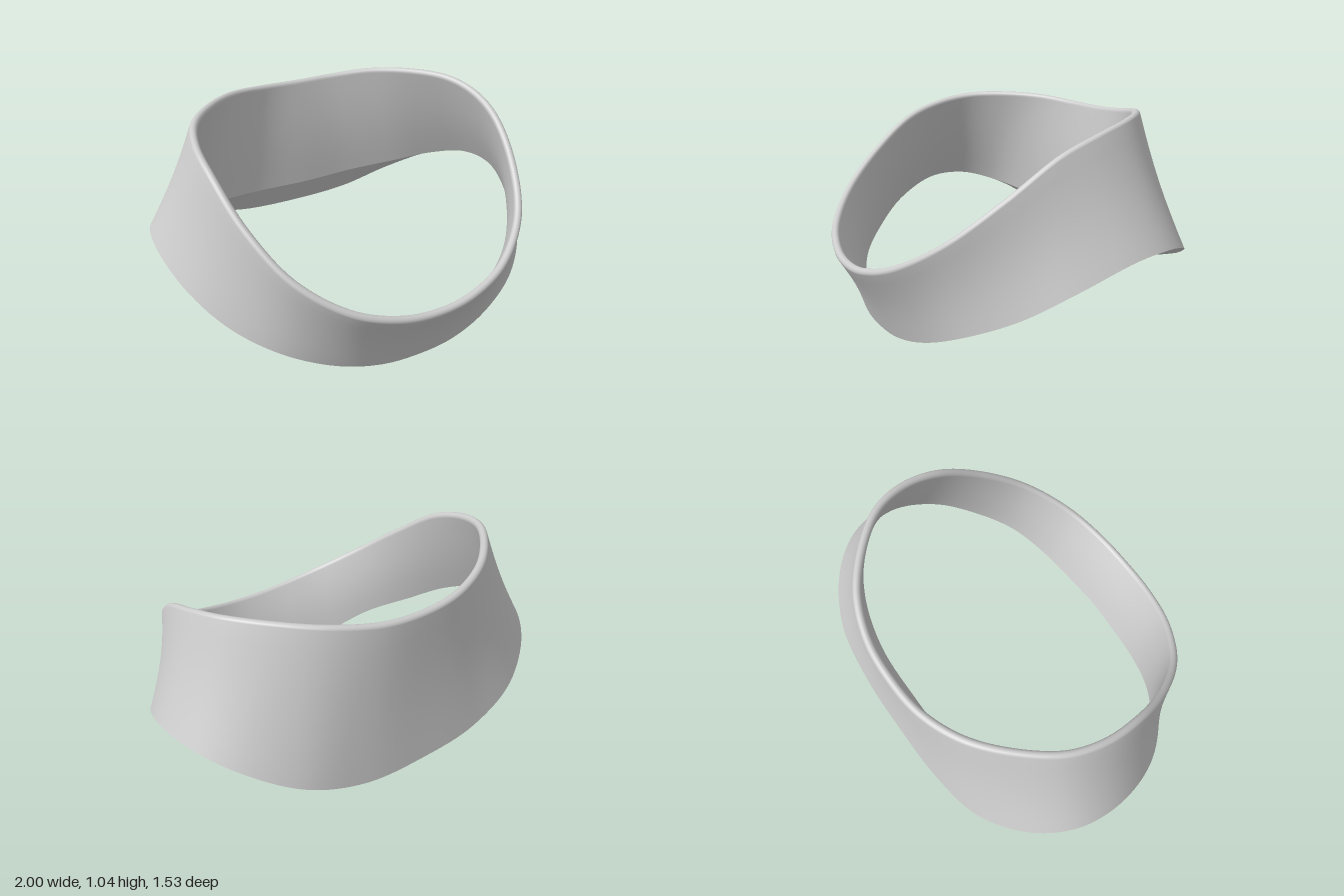
import * as THREE from 'three';

// Half-outline stations from front centre to back centre:
// [outer top], [outer bottom], [inner bottom]
const STATIONS = [
  [[0, 0.34, 0.77], [0, 0, 0.6], [0, 0.02, 0.56]],
  [[0.2, 0.36, 0.755], [0.2, 0.01, 0.59], [0.2, 0.025, 0.548]],
  [[0.42, 0.43, 0.69], [0.42, 0.06, 0.55], [0.4, 0.07, 0.515]],
  [[0.62, 0.57, 0.54], [0.65, 0.155, 0.46], [0.61, 0.17, 0.43]],
  [[0.735, 0.75, 0.33], [0.83, 0.26, 0.3], [0.79, 0.27, 0.28]],
  [[0.785, 0.92, 0.1], [0.95, 0.385, 0.1], [0.91, 0.4, 0.09]],
  [[0.785, 1.0, -0.1], [1, 0.49, -0.15], [0.96, 0.5, -0.14]],
  [[0.73, 1.04, -0.28], [0.97, 0.505, -0.36], [0.92, 0.515, -0.33]],
  [[0.6, 1.05, -0.45], [0.85, 0.45, -0.55], [0.79, 0.48, -0.48]],
  [[0.42, 1.04, -0.6], [0.62, 0.34, -0.705], [0.56, 0.44, -0.57]],
  [[0.21, 1.015, -0.685], [0.33, 0.25, -0.76], [0.3, 0.42, -0.62]],
  [[0, 1.005, -0.705], [0, 0.23, -0.77], [0, 0.41, -0.625]],
];

// Closed curve through one column of the stations, mirrored in x
function edgeCurve(column) {
  const half = STATIONS.map((s) => new THREE.Vector3(...s[column]));
  const mirrored = half.slice(1, -1).reverse().map((p) => new THREE.Vector3(-p.x, p.y, p.z));
  return new THREE.CatmullRomCurve3([...half, ...mirrored], true);
}

// Skin a list of closed rings; each ring has the same number of points
function skin(rings) {
  const n = rings[0].length;
  const positions = rings.flat().flatMap((p) => [p.x, p.y, p.z]);
  const index = [];
  for (let r = 0; r < rings.length - 1; r++) {
    for (let i = 0; i < n; i++) {
      const j = (i + 1) % n;
      const a = r * n + i, b = r * n + j, c = a + n, d = b + n;
      index.push(a, b, d, a, d, c);
    }
  }
  const geometry = new THREE.BufferGeometry();
  geometry.setAttribute('position', new THREE.Float32BufferAttribute(positions, 3));
  geometry.setIndex(index);
  geometry.computeVertexNormals();
  return geometry;
}

export function createModel() {
  const group = new THREE.Group();
  group.name = 'collarBand';
  const material = new THREE.MeshStandardMaterial({ color: 0xcccccc, side: THREE.DoubleSide });

  const [top, bottom, innerBottom] = [0, 1, 2].map(edgeCurve);
  const COUNT = 176, WALL = 8, ARC = 8, RADIUS = 0.02, BOW = 0.012;

  // Cross-section: up the outside, over the rounded rim, down the inside
  const sections = [];
  for (let i = 0; i < COUNT; i++) {
    const t = i / COUNT;
    const T = top.getPoint(t), B = bottom.getPoint(t), I = innerBottom.getPoint(t);
    const up = T.clone().sub(B).normalize();
    const inward = up.clone().cross(top.getTangent(t)).normalize();
    if (inward.x * T.x + inward.z * T.z > 0) inward.negate();
    up.crossVectors(inward, top.getTangent(t)).normalize();
    if (up.y < 0) up.negate();
    const centre = T.clone().addScaledVector(up, -RADIUS).addScaledVector(inward, RADIUS);
    const rim = (angle) => centre.clone()
      .addScaledVector(inward, -Math.cos(angle) * RADIUS)
      .addScaledVector(up, Math.sin(angle) * RADIUS);
    const wall = (from, to, k) => from.clone().lerp(to, k)
      .addScaledVector(inward, BOW * Math.sin(Math.PI * k));

    const section = [];
    for (let k = 0; k < WALL; k++) section.push(wall(B, rim(0), k / WALL));
    for (let k = 0; k <= ARC; k++) section.push(rim((Math.PI * k) / ARC));
    for (let k = 1; k <= WALL; k++) section.push(wall(rim(Math.PI), I, k / WALL));
    sections.push(section);
  }
  const rings = sections[0].map((_, k) => sections.map((s) => s[k]));

  // Smooth band with its rolled upper rim
  const band = new THREE.Mesh(skin(rings), material);
  band.name = 'band';
  group.add(band);

  // Sharp-edged strip closing the underside
  const hem = new THREE.Mesh(skin([rings[rings.length - 1], rings[0]]), material);
  hem.name = 'bottomEdge';
  group.add(hem);

  return group;
}
